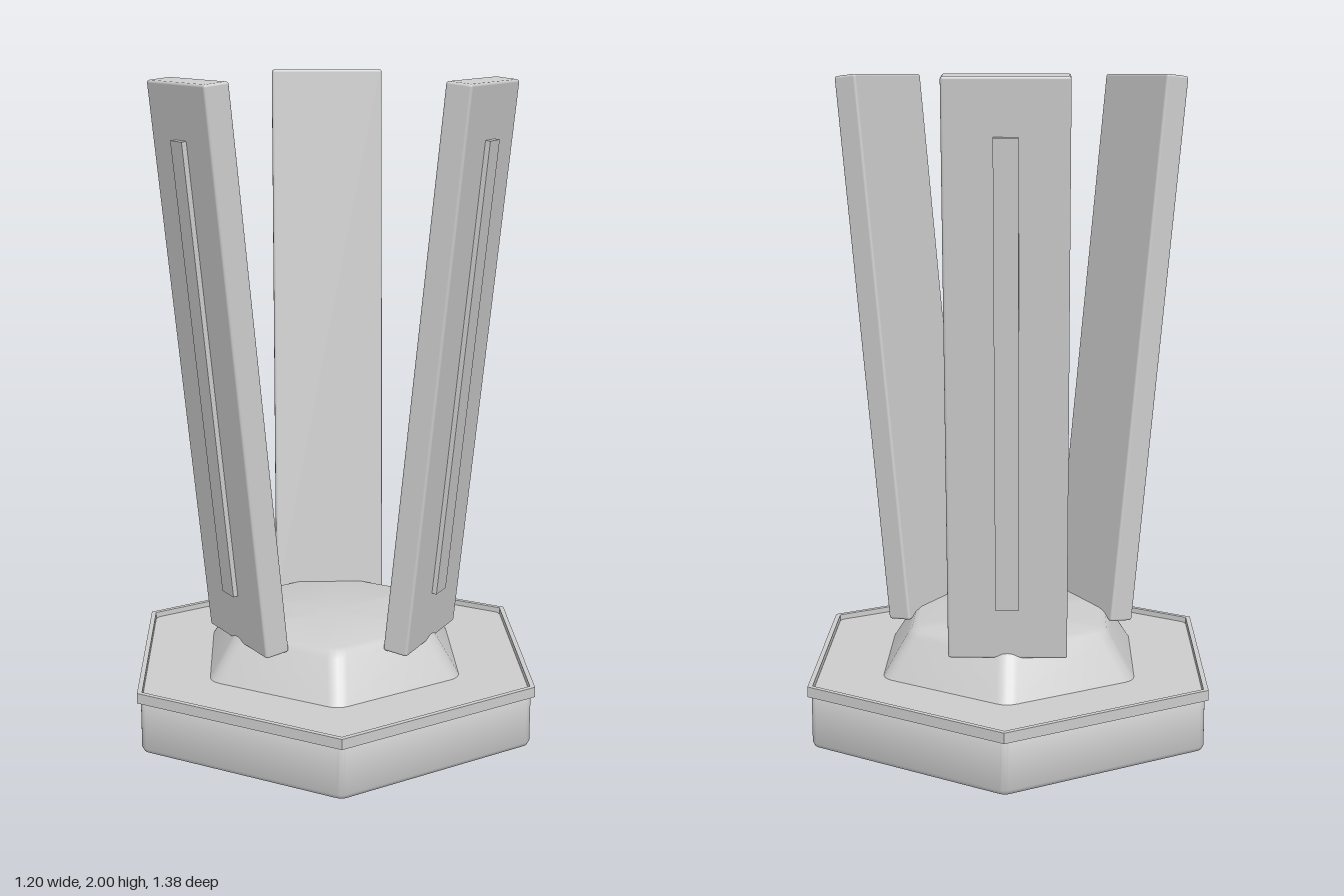
import * as THREE from 'three';
import { toCreasedNormals } from 'three/addons/utils/BufferGeometryUtils.js';
import { RoundedBoxGeometry } from 'three/addons/geometries/RoundedBoxGeometry.js';

// Solid hexagon lofted through [height, corner radius] sections, corners rounded by fillet
function hexLoft(sections, fillet) {
  const pos = [], index = [], steps = 4, n = 6 * (steps + 1);
  for (const [y, r] of sections) {
    const c = r - fillet / Math.cos(Math.PI / 6);
    for (let k = 0; k < 6; k++) {
      const a = k * Math.PI / 3;
      for (let s = 0; s <= steps; s++) {
        const t = a + (s / steps - 0.5) * Math.PI / 3;
        pos.push(c * Math.sin(a) + fillet * Math.sin(t), y, c * Math.cos(a) + fillet * Math.cos(t));
      }
    }
  }
  const last = sections.length - 1;
  const bottom = pos.length / 3, top = bottom + 1;
  pos.push(0, sections[0][0], 0, 0, sections[last][0], 0);
  for (let j = 0; j < n; j++) {
    const k = (j + 1) % n;
    for (let i = 0; i < last; i++) {
      const a = i * n + j, b = i * n + k;
      index.push(a, b, b + n, a, b + n, a + n);
    }
    index.push(bottom, k, j, top, last * n + j, last * n + k);
  }
  const geo = new THREE.BufferGeometry();
  geo.setAttribute('position', new THREE.Float32BufferAttribute(pos, 3));
  geo.setIndex(index);
  return toCreasedNormals(geo, 0.75);
}

export function createModel() {
  const model = new THREE.Group();
  const grey = new THREE.MeshStandardMaterial({ color: 0xcccccc });
  grey.name = 'light grey';

  const add = (parent, name, geo) => {
    const mesh = new THREE.Mesh(geo, grey);
    mesh.name = name;
    parent.add(mesh);
    return mesh;
  };

  // Hexagonal base with softened edges
  add(model, 'base', hexLoft([
    [0, 0.662], [0.005, 0.674], [0.018, 0.681], [0.172, 0.681], [0.18, 0.674],
  ], 0.03));

  // Thin raised rim around the base
  const rim = [[0.675, 0.165], [0.692, 0.165], [0.692, 0.197], [0.675, 0.197], [0.675, 0.165]]
    .map(([r, y]) => new THREE.Vector2(r, y));
  add(model, 'rim', toCreasedNormals(new THREE.LatheGeometry(rim, 6), 0.5));

  // Sloped hub in the middle
  add(model, 'hub', hexLoft([
    [0.175, 0.448], [0.197, 0.433], [0.3, 0.362], [0.318, 0.347], [0.325, 0.328],
  ], 0.06));

  // Three panels leaning outwards, each with a strip on its outer face
  const panelGeo = new RoundedBoxGeometry(0.354, 1.71, 0.08, 2, 0.008);
  const stripGeo = new THREE.BoxGeometry(0.07, 1.385, 0.03);
  ['backPanel', 'leftPanel', 'rightPanel'].forEach((name, i) => {
    const pivot = new THREE.Group();
    pivot.name = name;
    pivot.rotation.y = -i * Math.PI * 2 / 3;
    const lean = new THREE.Group();
    lean.name = name + 'Lean';
    lean.position.set(0, 1.145, -0.395);
    lean.rotation.x = -0.105;
    add(lean, 'panel', panelGeo);
    add(lean, 'strip', stripGeo).position.z = -0.04;
    pivot.add(lean);
    model.add(pivot);
  });

  return model;
}
